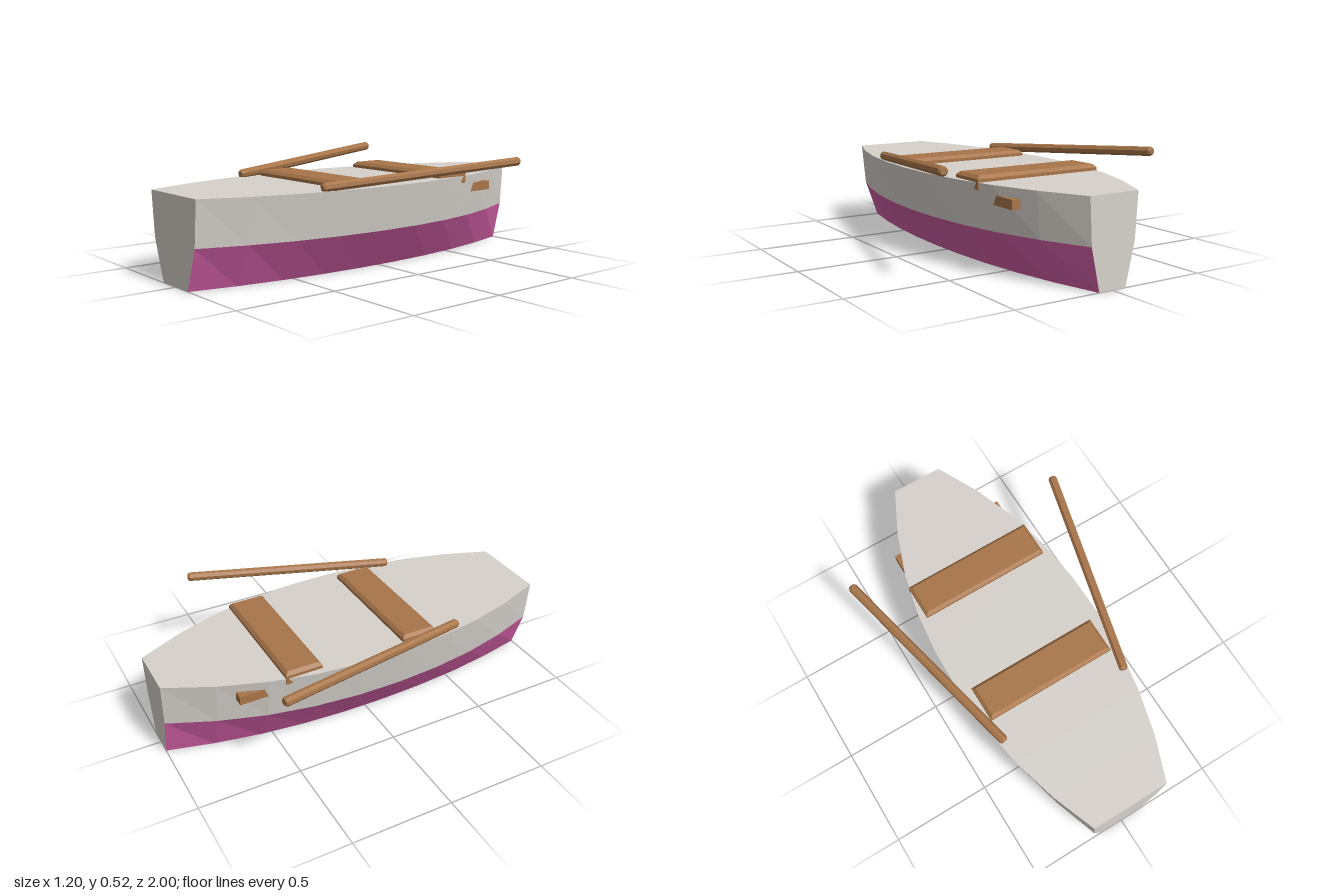
import * as THREE from 'three';

const mat = (name, color) => Object.assign(new THREE.MeshStandardMaterial({ color, flatShading: true }), { name });

// Half widths at deck level, evenly spaced from stern (z = -1) to bow (z = 1)
const HALF = [0.13, 0.238, 0.318, 0.368, 0.393, 0.396, 0.38, 0.344, 0.284, 0.2];
const DECK = 0.415;
// Cross-section levels: [share of the deck width, height]
const KEEL = [0.55, 0], CHINE = [0.9, 0.2], RIM = [1, DECK];

function geometryFrom(quads) {
  const pos = [];
  for (const [a, b, c, d] of quads) pos.push(...a, ...b, ...c, ...a, ...c, ...d);
  const g = new THREE.BufferGeometry();
  g.setAttribute('position', new THREE.Float32BufferAttribute(pos, 3));
  g.computeVertexNormals();
  return g;
}

const point = (i, side, [k, y]) => [side * HALF[i] * k, y, -1 + (2 * i) / (HALF.length - 1)];

// Strip along the hull between two section corners
function strip(sideA, levelA, sideB, levelB) {
  const quads = [];
  for (let i = 0; i < HALF.length - 1; i++) {
    quads.push([point(i, sideA, levelA), point(i, sideB, levelB),
      point(i + 1, sideB, levelB), point(i + 1, sideA, levelA)]);
  }
  return quads;
}

// Flat end wall, in two trapezoids
function transom(i, s) {
  return [[KEEL, CHINE], [CHINE, RIM]].map(([lo, hi]) =>
    [point(i, -s, lo), point(i, s, lo), point(i, s, hi), point(i, -s, hi)]);
}

// Plank with chamfered edges
function plank(w, h, d, bevel) {
  const x = w / 2 - bevel, z = d / 2 - bevel;
  const shape = new THREE.Shape();
  shape.moveTo(-x, -z).lineTo(x, -z).lineTo(x, z).lineTo(-x, z).closePath();
  const g = new THREE.ExtrudeGeometry(shape, {
    depth: h - 2 * bevel, bevelEnabled: true, bevelSize: bevel, bevelThickness: bevel, bevelSegments: 1,
  });
  return g.translate(0, 0, -h / 2 + bevel).rotateX(-Math.PI / 2);
}

export function createModel() {
  const model = new THREE.Group();
  model.name = 'rowingBoat';
  const grey = mat('paleGrey', 0xd6d1cb);
  const purple = mat('magenta', 0xd25fa6);
  const wood = mat('wood', 0xa87549);

  const add = (name, geometry, material) => {
    const mesh = new THREE.Mesh(geometry, material);
    mesh.name = name;
    model.add(mesh);
    return mesh;
  };

  // Hull
  add('lowerHull', geometryFrom([
    ...strip(1, CHINE, 1, KEEL).map((q) => q.reverse()),
    ...strip(-1, CHINE, -1, KEEL),
    ...strip(-1, KEEL, 1, KEEL),
  ]), purple);
  add('upperHull', geometryFrom([
    ...strip(1, RIM, 1, CHINE).map((q) => q.reverse()),
    ...strip(-1, RIM, -1, CHINE),
  ]), grey);
  add('deck', geometryFrom(strip(1, RIM, -1, RIM)), grey);
  add('bowTransom', geometryFrom(transom(HALF.length - 1, 1)), grey);
  add('sternTransom', geometryFrom(transom(0, -1)), grey);

  // Seats, and the low stern board that pokes through the sides
  for (const [name, z] of [['frontSeat', 0.228], ['rearSeat', -0.387]]) {
    add(name, plank(0.676, 0.075, 0.184, 0.015), wood).position.set(0, 0.4075, z);
  }
  add('sternBoard', new THREE.BoxGeometry(0.61, 0.045, 0.18), wood).position.set(0, 0.347, -0.605);

  // Oars, resting on the rim and spreading outward to the stern
  for (const s of [1, -1]) {
    const from = new THREE.Vector3(s * 0.337, 0.43, 0.44);
    const to = new THREE.Vector3(s * 0.582, 0.502, -0.6);
    const length = from.distanceTo(to), r = 0.023;
    const profile = [[0, 0], [r * 0.7, 0], [r, 0.01], [r, length - 0.01], [r * 0.7, length], [0, length]]
      .map(([x, y]) => new THREE.Vector2(x, y));
    const oar = add(s > 0 ? 'leftOar' : 'rightOar', new THREE.LatheGeometry(profile, 8), wood);
    oar.position.copy(from);
    oar.quaternion.setFromUnitVectors(new THREE.Vector3(0, 1, 0), to.sub(from).normalize());
  }
  return model;
}
